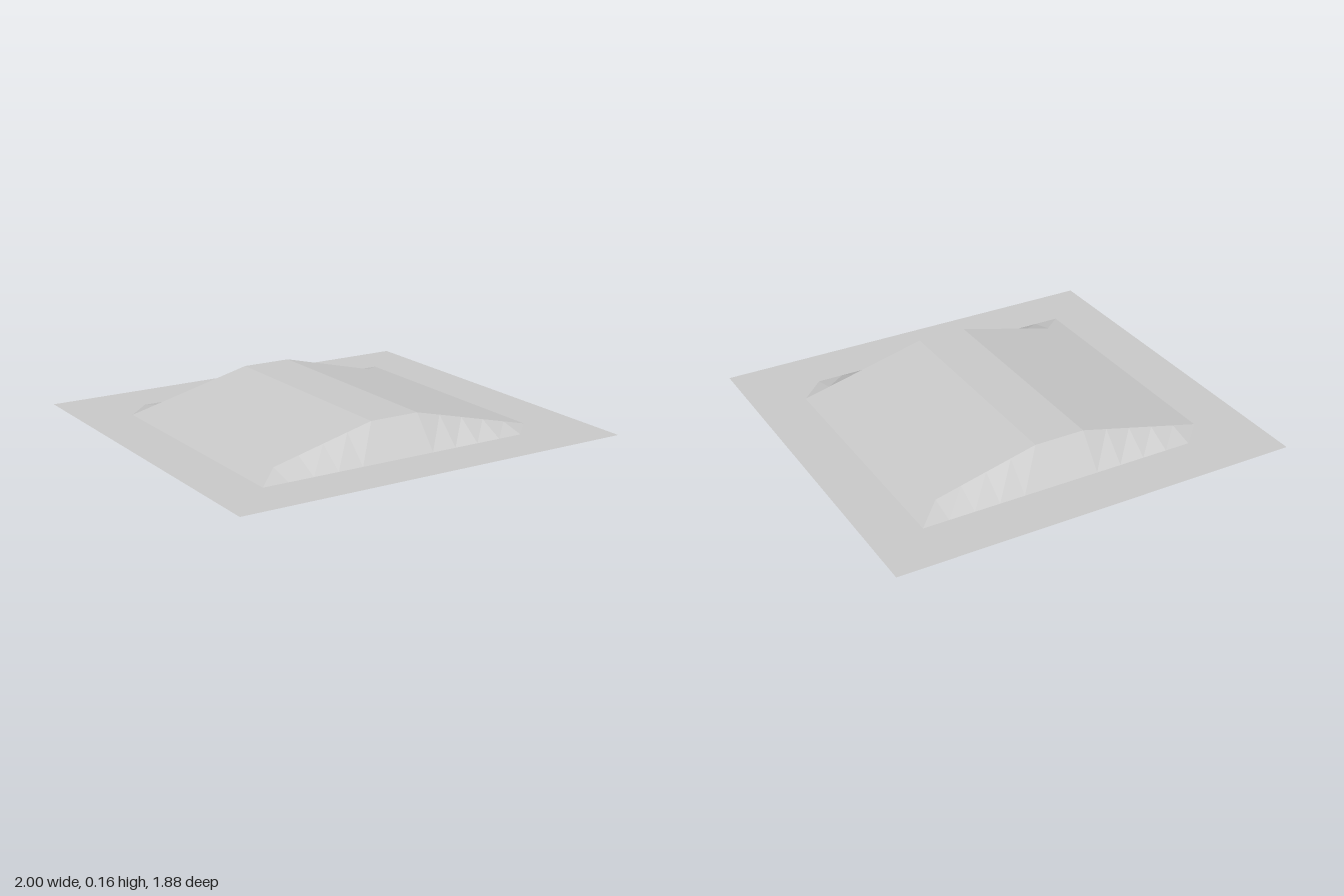
import * as THREE from 'three';

const CELL = 0.125;
const PEAK = 0.155;

// Ramp height: flat crest, straight slopes to left and right, one-cell banks at front and back
function rampHeight(x, z) {
  if (Math.abs(z) > 0.6) return 0;
  return PEAK * THREE.MathUtils.clamp((0.75 - Math.abs(x)) / 0.625, 0, 1);
}

export function createModel() {
  const group = new THREE.Group();
  group.name = 'terrainRamp';

  const lightGrey = new THREE.MeshStandardMaterial({
    color: 0xcccccc, flatShading: true, side: THREE.DoubleSide,
  });
  lightGrey.name = 'lightGrey';

  // Ground sheet of 16 x 15 cells, raised in the middle into a ramp
  const geometry = new THREE.PlaneGeometry(16 * CELL, 15 * CELL, 16, 15);
  geometry.rotateX(-Math.PI / 2);
  const position = geometry.attributes.position;
  for (let i = 0; i < position.count; i++) {
    position.setY(i, rampHeight(position.getX(i), position.getZ(i)));
  }
  geometry.computeVertexNormals();

  const ground = new THREE.Mesh(geometry, lightGrey);
  ground.name = 'groundWithRamp';
  group.add(ground);
  return group;
}
